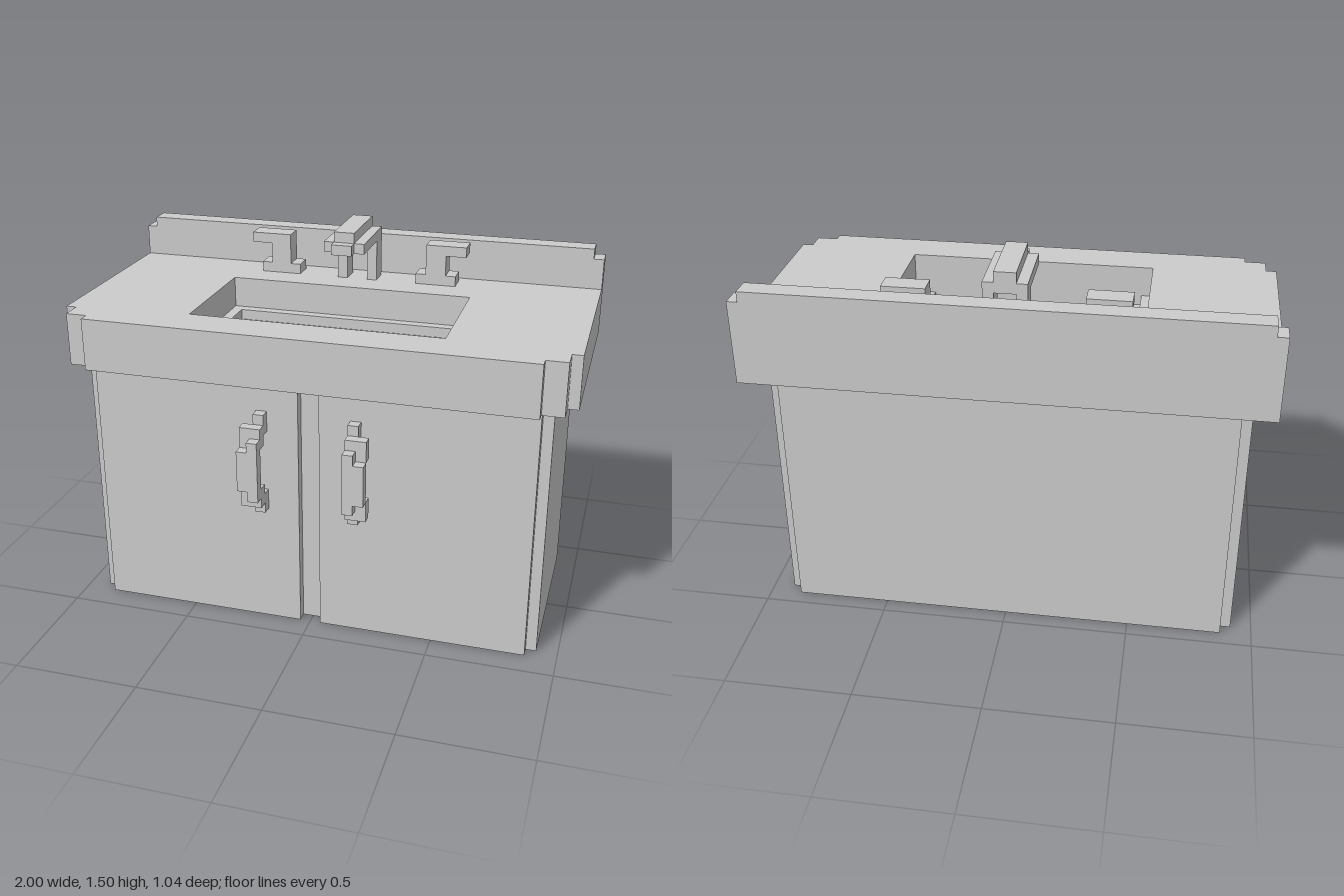
import * as THREE from 'three';

const U = 1 / 24; // one block unit
const mat = new THREE.MeshStandardMaterial({ color: 0xcccccc, flatShading: true });

// Box given by its min and max corners in block units
function box(parent, name, x0, x1, y0, y1, z0, z1) {
  const g = new THREE.BoxGeometry((x1 - x0) * U, (y1 - y0) * U, (z1 - z0) * U);
  g.translate((x0 + x1) / 2 * U, (y0 + y1) / 2 * U, (z0 + z1) / 2 * U);
  const m = new THREE.Mesh(g, mat);
  m.name = name;
  parent.add(m);
}

// Closed outline from its +x half, listed from back to front
function mirrored(half) {
  const other = half.map(([x, z]) => [-x, z]).reverse();
  return [...half, ...other].map(([x, z]) => new THREE.Vector2(x * U, z * U));
}

// Horizontal slab of a mirrored outline, with an optional opening
function slab(parent, name, half, y0, y1, hole) {
  const shape = new THREE.Shape(mirrored(half));
  if (hole) shape.holes.push(new THREE.Path(mirrored(hole)));
  const g = new THREE.ExtrudeGeometry(shape, { depth: (y1 - y0) * U, bevelEnabled: false });
  g.rotateX(Math.PI / 2).translate(0, y1 * U, 0);
  const m = new THREE.Mesh(g, mat);
  m.name = name;
  parent.add(m);
}

function group(parent, name) {
  const g = new THREE.Group();
  g.name = name;
  parent.add(g);
  return g;
}

export function createModel() {
  const model = new THREE.Group();
  model.name = 'bathroomVanity';

  // Cabinet with notched corners and a gap between the doors; drain sunk in its top
  const cabinet = group(model, 'cabinet');
  const body = [[21, -10.5], [21, -9.5], [22, -9.5], [22, 8.5], [21, 8.5], [21, 9.5], [1, 9.5], [1, 8.5]];
  slab(cabinet, 'cabinetBody', body, 0, 23);
  slab(cabinet, 'drainCentre', body, 23, 24, [[1, 0.5], [1, 2.5]]);
  slab(cabinet, 'drainCross', body, 24, 25,
    [[1, -0.5], [1, 0.5], [2, 0.5], [2, 2.5], [1, 2.5], [1, 3.5]]);

  // Countertop with stepped front corners; the basin steps in at the sides and back
  const counter = group(model, 'countertop');
  const top = [[24, -12.5], [24, 8.5], [23, 8.5], [23, 10.5], [21, 10.5], [21, 11.5]];
  [[25, 26, 10, -2.5], [26, 27, 11, -3.5], [27, 30, 12, -4.5]].forEach(([y0, y1, x, z]) =>
    slab(counter, 'basinLayer', top, y0, y1, [[x, z], [x, 7.5]]));

  // Backsplash
  const splash = group(model, 'backsplash');
  box(splash, 'backsplashPanel', -24, 24, 30, 33, -12.5, -10.5);
  box(splash, 'backsplashCap', -23, 23, 33, 34, -12.5, -10.5);

  // Faucet
  const faucet = group(model, 'faucet');
  box(faucet, 'spout', -2, 2, 34, 35, -9.5, -2.5);
  box(faucet, 'spoutTip', -1, 1, 34, 35, -2.5, -1.5);
  box(faucet, 'spoutRidge', -1, 1, 35, 36, -9.5, -2.5);

  for (const s of [1, -1]) {
    const side = (p, name, a, b, ...rest) => box(p, name, Math.min(s * a, s * b), Math.max(s * a, s * b), ...rest);
    side(faucet, 'faucetLeg', 1, 2, 30, 34, -9.5, -7.5);

    // Tap
    const tap = group(model, s > 0 ? 'leftTap' : 'rightTap');
    side(tap, 'tapBase', 6, 10, 30, 31, -9.5, -7.5);
    side(tap, 'tapStem', 7, 9, 31, 33, -9.5, -7.5);
    side(tap, 'tapLever', 7, 11, 33, 34, -9.5, -7.5);

    // Door handle
    const handle = group(model, s > 0 ? 'leftDoorHandle' : 'rightDoorHandle');
    side(handle, 'handleGrip', 4, 5, 14, 20, 11.5, 12.5);
    side(handle, 'handleGripOuter', 5, 6, 15, 19, 11.5, 12.5);
    for (const y of [13, 19]) side(handle, 'handleBend', 4, 6, y, y + 2, 10.5, 11.5);
    for (const y of [12, 20]) side(handle, 'handleMount', 4, 5, y, y + 2, 9.5, 10.5);
  }
  return model;
}
